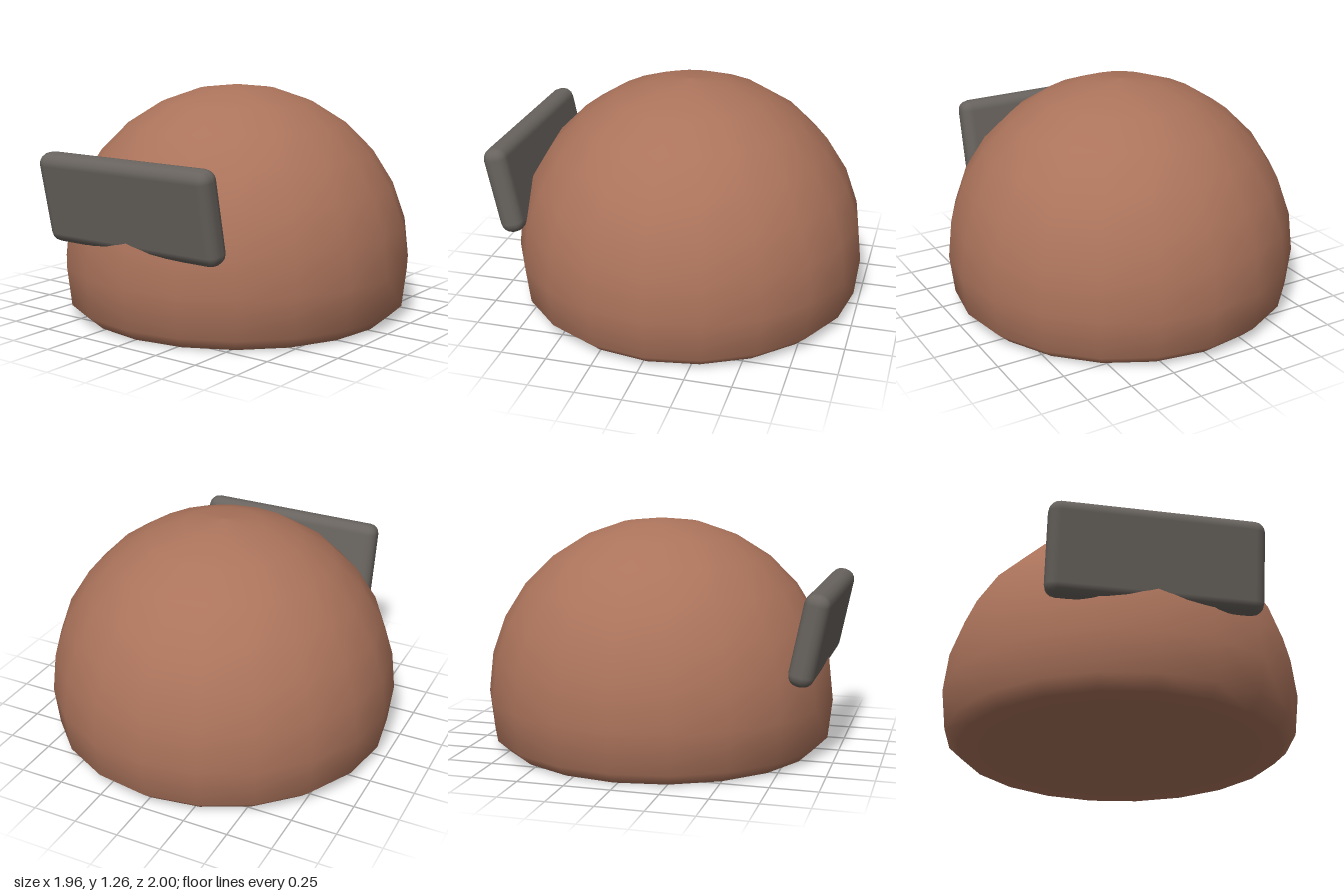
import * as THREE from 'three';
import { RoundedBoxGeometry } from 'three/addons/geometries/RoundedBoxGeometry.js';

export function createModel() {
  const model = new THREE.Group();
  const clay = new THREE.MeshStandardMaterial({ color: 0xab735b });
  clay.name = 'clay brown';
  const grey = new THREE.MeshStandardMaterial({ color: 0x68635e });
  grey.name = 'warm grey';

  // Dome: a sphere of 14 rings whose lower rings are flattened onto the ground
  const radius = 0.98, centreY = 0.285, rings = 14;
  const profile = [];
  for (let i = 0; i <= rings; i++) {
    const a = Math.PI * (1 - i / rings);
    profile.push(new THREE.Vector2(
      i % rings === 0 ? 0 : radius * Math.sin(a),
      Math.max(0, centreY + radius * Math.cos(a))
    ));
  }
  const dome = new THREE.Mesh(new THREE.LatheGeometry(profile, 20), clay);
  dome.name = 'domeBody';
  dome.position.z = -0.02;
  model.add(dome);

  // Visor: a rounded slab leaning forward, its lower middle sunk in the dome
  const visor = new THREE.Mesh(new RoundedBoxGeometry(1.12, 0.494, 0.135, 2, 0.06), grey);
  visor.name = 'visorPlate';
  visor.position.set(0, 0.706, 0.897);
  visor.rotation.x = 0.2;
  model.add(visor);

  return model;
}
